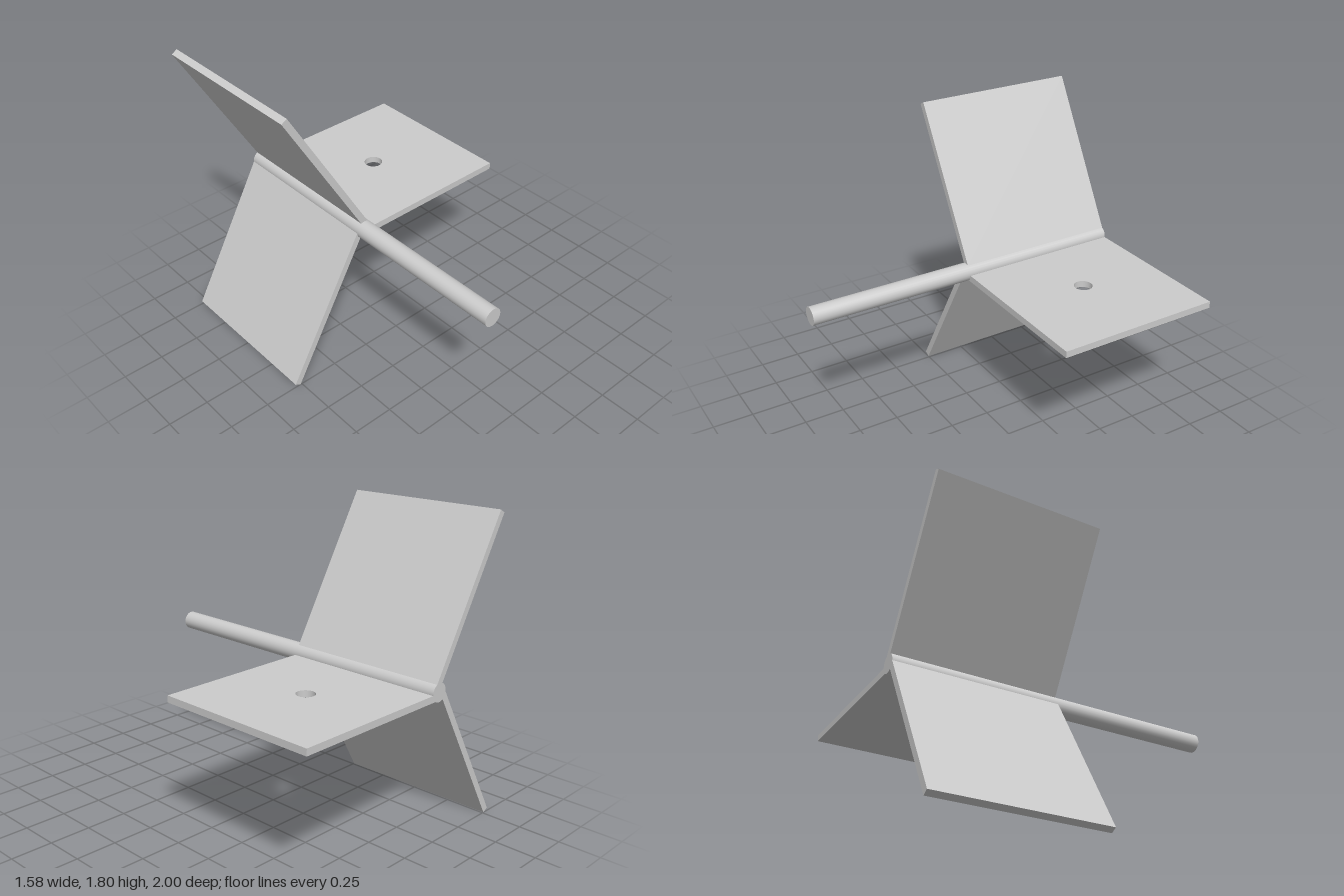
import * as THREE from 'three';

const RADIUS = 0.055;     // shaft and hole radius
const INNER = 0.03;       // fin root, sunk into the shaft
const OUTER = 1.03;       // fin tip, measured from the shaft axis
const THICKNESS = 0.04;

// Square plate lying flat: x from root to tip, z from -1 to 0
function finGeometry(withHole) {
  const shape = new THREE.Shape([
    new THREE.Vector2(INNER, 0),
    new THREE.Vector2(OUTER, 0),
    new THREE.Vector2(OUTER, 1),
    new THREE.Vector2(INNER, 1),
  ]);
  if (withHole) {
    const hole = new THREE.Path();
    hole.absarc(0.5, 0.5, RADIUS, 0, Math.PI * 2, true);
    shape.holes.push(hole);
  }
  const geometry = new THREE.ExtrudeGeometry(shape, {
    depth: THICKNESS, bevelEnabled: false, curveSegments: 24,
  });
  // Lay flat; the plate sits just below the radial plane
  return geometry.rotateX(-Math.PI / 2).translate(0, -0.045, 0);
}

export function createModel() {
  const material = new THREE.MeshStandardMaterial({ color: 0xcccccc });
  const model = new THREE.Group();
  model.name = 'finnedShaft';

  const body = new THREE.Group();
  body.name = 'body';
  body.position.set(-0.24, 0.895, 0);
  model.add(body);

  // Long round shaft along z
  const shaft = new THREE.Mesh(
    new THREE.CylinderGeometry(RADIUS, RADIUS, 2, 24).rotateX(Math.PI / 2), material);
  shaft.name = 'shaft';
  body.add(shaft);

  // Three fins around the rear half; only the level one is pierced
  ['piercedFin', 'upperFin', 'lowerFin'].forEach((name, i) => {
    const fin = new THREE.Mesh(finGeometry(i === 0), material);
    fin.name = name;
    fin.rotation.z = (i * Math.PI * 2) / 3;
    body.add(fin);
  });

  return model;
}
